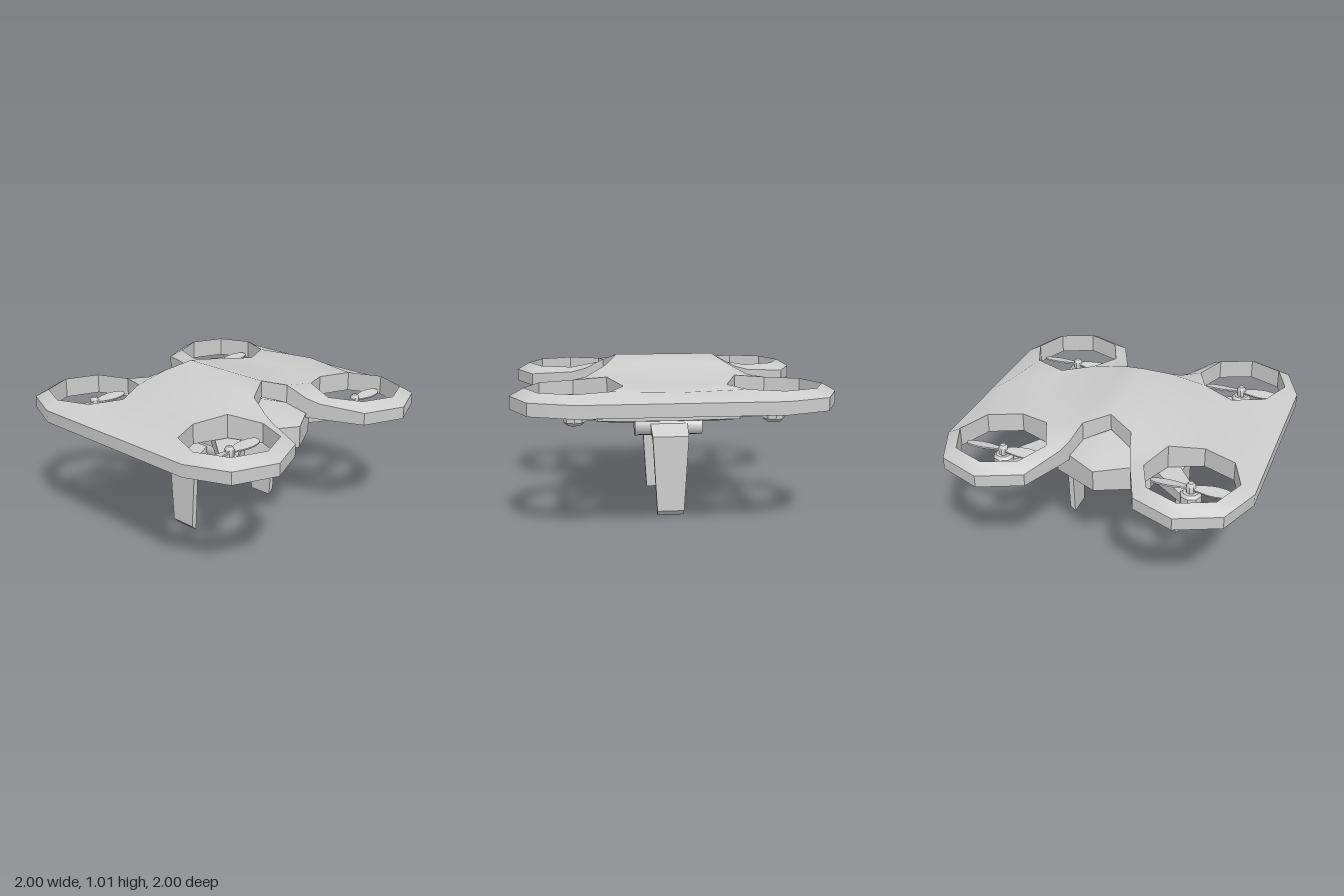
import * as THREE from 'three';
import { toCreasedNormals } from 'three/addons/utils/BufferGeometryUtils.js';

const material = new THREE.MeshStandardMaterial({ color: 0xcccccc });
const CREASE = 0.68;
const ROTOR = 0.615; // rotor centre offset in x and z

function part(name, geometry, parent) {
  const mesh = new THREE.Mesh(geometry, material);
  mesh.name = name;
  parent.add(mesh);
  return mesh;
}

// Collects faces of one quarter (+x, +z) and mirrors them into all four
function quarterBuilder() {
  const positions = [];
  const v = (p) => new THREE.Vector3(...p);
  return {
    // up: 1 or -1 turns the face up or down, 0 keeps the corner order
    face(points, up = 0) {
      let pts = points;
      if (up) {
        const n = v(pts[1]).sub(v(pts[0])).cross(v(pts[2]).sub(v(pts[0])));
        if (n.y * up < 0) pts = [...pts].reverse();
      }
      for (const sx of [1, -1]) for (const sz of [1, -1]) {
        const q = pts.map(([x, y, z]) => [x * sx, y, z * sz]);
        if (sx * sz < 0) q.reverse();
        for (let i = 1; i < q.length - 1; i++) positions.push(...q[0], ...q[i], ...q[i + 1]);
      }
    },
    build() {
      const g = new THREE.BufferGeometry();
      g.setAttribute('position', new THREE.Float32BufferAttribute(positions, 3));
      return toCreasedNormals(g, CREASE);
    },
  };
}

// Top shell with four octagonal rotor openings and front/rear notches
function shellGeometry() {
  const b = quarterBuilder();
  // each point: x, z, top height, bottom height
  const P = {
    A: [0.2, 0.53, 0.89, 0.76], B: [0.16, 0.4, 0.96, 0.84], C: [0, 0.32, 1.01, 0.9],
    M0: [0, 0, 1.01, 0.9], M1: [0.16, 0, 0.965, 0.84], M2: [0.41, 0, 0.91, 0.76],
    M3: [ROTOR, 0, 0.89, 0.76], M4: [0.91, 0, 0.89, 0.76], M5: [1, 0, 0.84, 0.76],
  };
  for (let k = 0; k < 8; k++) {
    const c = Math.cos(k * Math.PI / 4), s = Math.sin(k * Math.PI / 4);
    P['I' + k] = [ROTOR + 0.297 * c, ROTOR + 0.297 * s, k === 5 ? 0.915 : 0.888, 0.76];
    if (k < 5) P['O' + k] = [ROTOR + 0.385 * c, ROTOR + 0.385 * s, k === 4 ? 0.865 : 0.84, 0.76];
  }
  const top = (n) => [P[n][0], P[n][2], P[n][1]];
  const low = (n) => [P[n][0], P[n][3], P[n][1]];
  const skin = ['O0 I0 I1 O1', 'O1 I1 I2 O2', 'O2 I2 I3 O3', 'O3 I3 I4 O4', 'O4 I4 A', 'A I4 I5',
    'A I5 B', 'B I5 M2 M1', 'C B M1 M0', 'I5 I6 M3 M2', 'I6 I7 M4 M3', 'I7 I0 O0', 'I7 O0 M5', 'I7 M5 M4'];
  for (const f of skin.map((s) => s.split(' '))) {
    b.face(f.map(top), 1);
    b.face(f.map(low), -1);
  }
  // outer wall
  const rim = 'M5 O0 O1 O2 O3 O4 A B C'.split(' ');
  for (let i = 0; i < rim.length - 1; i++) {
    b.face([low(rim[i + 1]), low(rim[i]), top(rim[i]), top(rim[i + 1])]);
  }
  // opening walls
  for (let k = 0; k < 8; k++) {
    const p = 'I' + k, q = 'I' + (k + 1) % 8;
    b.face([low(p), low(q), top(q), top(p)]);
  }
  return b.build();
}

// Central hull: six-sided belt, sloped roof, shallow keel
function hullGeometry() {
  const b = quarterBuilder();
  const belt = [[0.315, 0.79, 0], [0.315, 0.79, 0.464], [0, 0.785, 0.645]];
  const chine = [[0.315, 0.61, 0], [0.315, 0.615, 0.464], [0, 0.645, 0.645]];
  const roof = [[0, 0.89, 0], [0, 0.89, 0.32]];
  const keel = [[0, 0.56, 0], [0, 0.56, 0.4], [0.16, 0.575, 0], [0.16, 0.575, 0.3]];
  for (let i = 0; i < 2; i++) b.face([chine[i + 1], chine[i], belt[i], belt[i + 1]]);
  b.face([roof[0], belt[0], belt[1], roof[1]], 1);
  b.face([roof[1], belt[1], belt[2]], 1);
  b.face([keel[0], keel[2], keel[3], keel[1]], -1);
  b.face([keel[2], chine[0], chine[1], keel[3]], -1);
  b.face([keel[3], chine[1], chine[2], keel[1]], -1);
  return b.build();
}

// Arm along +x, tapering from the hull to the motor
function armGeometry() {
  const g = new THREE.BoxGeometry(0.48, 1, 1).translate(0.24, 0, 0);
  const p = g.attributes.position;
  for (let i = 0; i < p.count; i++) {
    const t = p.getX(i) / 0.48;
    p.setY(i, p.getY(i) * (0.115 - 0.06 * t));
    p.setZ(i, p.getZ(i) * (0.2 - 0.1 * t));
  }
  return toCreasedNormals(g.toNonIndexed(), CREASE);
}

function lathe(points, sides) {
  const g = new THREE.LatheGeometry(points.map(([r, y]) => new THREE.Vector2(r, y)), sides);
  return toCreasedNormals(g.toNonIndexed(), CREASE);
}

function bladeGeometry() {
  const s = new THREE.Shape();
  s.moveTo(0, -0.018);
  s.bezierCurveTo(0.06, -0.025, 0.1, -0.045, 0.16, -0.042);
  s.bezierCurveTo(0.22, -0.038, 0.257, -0.025, 0.257, 0);
  s.bezierCurveTo(0.257, 0.025, 0.22, 0.038, 0.16, 0.042);
  s.bezierCurveTo(0.1, 0.045, 0.06, 0.025, 0, 0.018);
  s.closePath();
  return new THREE.ExtrudeGeometry(s, { depth: 0.01, bevelEnabled: false, curveSegments: 4 })
    .translate(0, 0, -0.005).rotateX(-Math.PI / 2 + 0.2);
}

// Bent landing leg, narrowing downwards
function legGeometry(side) {
  const outline = [[0.24, 0.59], [0.3, 0.59], [0.408, 0.525], [0.408, 0.035], [0.372, 0], [0.372, 0.49], [0.3, 0.53], [0.24, 0.53]];
  const s = new THREE.Shape(outline.map(([x, y]) => new THREE.Vector2(x * side, y)));
  const g = new THREE.ExtrudeGeometry(s, { depth: 2, bevelEnabled: false }).translate(0, 0, -1);
  const p = g.attributes.position;
  for (let i = 0; i < p.count; i++) p.setZ(i, p.getZ(i) * (0.085 + 0.06 * p.getY(i)));
  g.computeVertexNormals();
  return g;
}

export function createModel() {
  const model = new THREE.Group();
  model.name = 'drone';
  part('shell', shellGeometry(), model);
  part('hull', hullGeometry(), model);

  const arm = armGeometry();
  const motor = lathe([[0, 0.655], [0.045, 0.655], [0.067, 0.675], [0.067, 0.75], [0.05, 0.768], [0, 0.768]], 8);
  const hub = lathe([[0, 0.76], [0.03, 0.76], [0.03, 0.815], [0.018, 0.832], [0, 0.835]], 8);
  const blade = bladeGeometry();
  for (const sx of [1, -1]) for (const sz of [1, -1]) {
    const name = (sz > 0 ? 'front' : 'rear') + (sx > 0 ? 'Left' : 'Right');
    const a = part(name + 'Arm', arm, model);
    a.position.set(0.27 * sx, 0.71, 0.27 * sz);
    a.rotation.y = Math.atan2(-sz, sx);

    const rotor = new THREE.Group();
    rotor.name = name + 'Rotor';
    rotor.position.set(ROTOR * sx, 0, ROTOR * sz);
    part('motor', motor, rotor);
    part('hub', hub, rotor);
    for (const turn of [0, Math.PI]) {
      const m = part('blade', blade, rotor);
      m.position.y = 0.797;
      m.rotation.y = turn;
    }
    model.add(rotor);
  }

  // landing gear: hinge barrel and leg on each side
  const barrel = new THREE.CylinderGeometry(0.064, 0.064, 0.44, 10).rotateX(Math.PI / 2);
  const barrelGeometry = toCreasedNormals(barrel.toNonIndexed(), CREASE);
  for (const side of [1, -1]) {
    const name = side > 0 ? 'left' : 'right';
    part(name + 'Hinge', barrelGeometry, model).position.set(0.238 * side, 0.569, 0);
    part(name + 'Leg', legGeometry(side), model);
  }
  return model;
}
